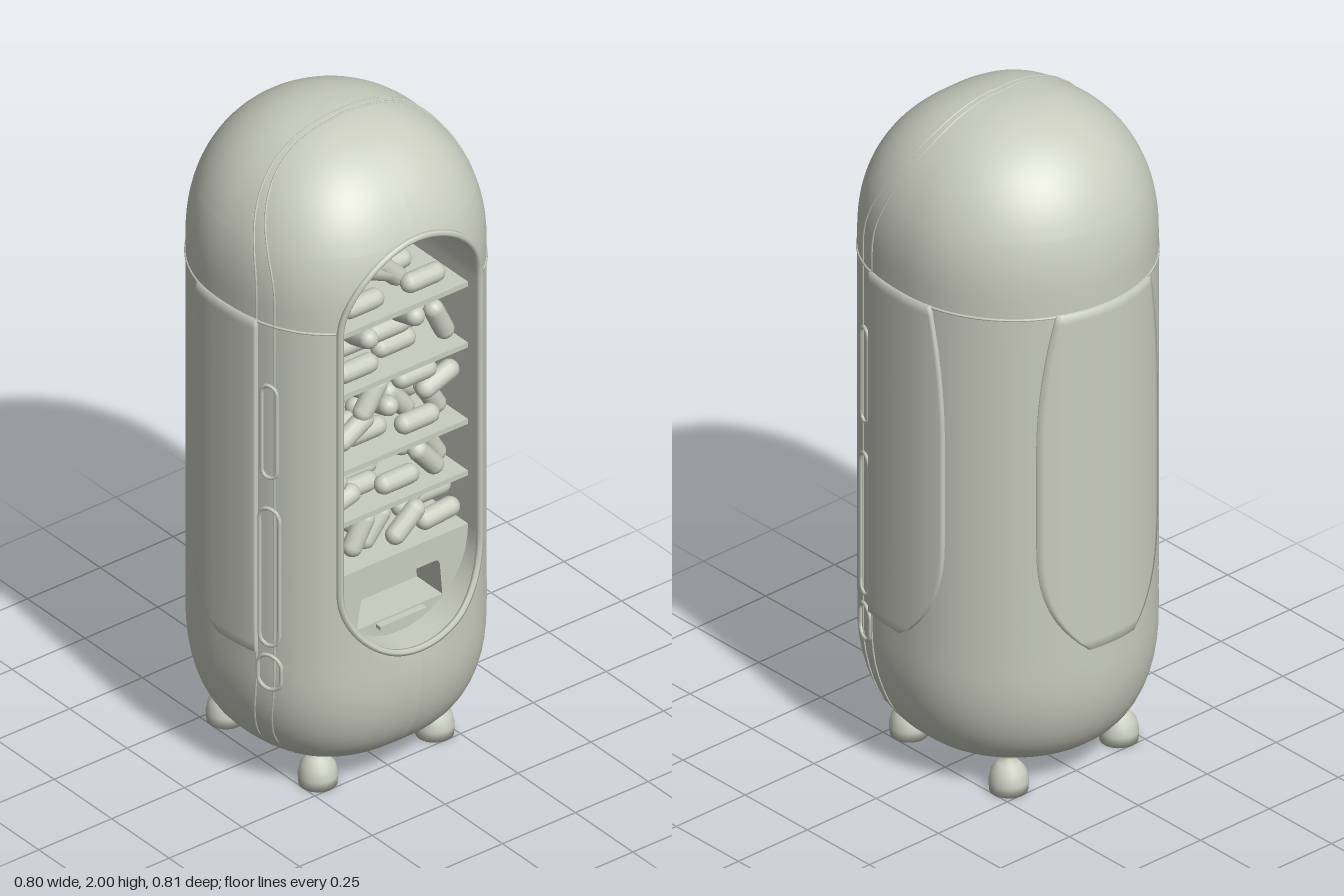
import * as THREE from 'three';

const R = 0.39, ZF = 0.4, BASE = 0.07, HOLE = 0.24, LOW = 0.69, HIGH = 1.51, N = 1.25;
const { sin, cos, abs, pow, sign, sqrt, PI } = Math;
const step = THREE.MathUtils.smoothstep;

// Relative body radius at height y: rounded foot, straight middle, dome
function radius(y) {
  const arc = (u) => pow(Math.max(0, 1 - pow(u, 2.2)), 1 / 2.2);
  if (y < 0.4) return 0.5 + 0.5 * arc((0.4 - y) / 0.33);
  if (y > 1.58) return arc(Math.min(1, (y - 1.58) / 0.42));
  return 1;
}

// Point on the body; angle 0 is the front. The front half is squarer and flattened.
function surface(a, y, off = 0, rel = radius(y)) {
  const s = sin(a), c = cos(a);
  let x = R * rel * s, z = R * rel * c;
  if (c > 0) {
    x = R * rel * sign(s) * pow(abs(s), 1 / N);
    z = ZF * rel * pow(c, 1 / N);
    const flat = 0.365 + 0.035 * (1 - step(y, 0.4, 0.64)) + 0.02 * step(y, 1.52, 1.75);
    z = Math.min(z, flat);
  }
  return new THREE.Vector3(x + off * s, y, z + off * c);
}
const angleAtX = (x, y) => Math.asin(Math.min(1, pow(abs(x) / (R * radius(y)), N))) * sign(x);
const angleAtZ = (z, y) => Math.acos(Math.min(1, pow(z / (ZF * radius(y)), N)));

// Smooth surface from rows and columns of points
function grid(rows, cols, point) {
  const pos = [], idx = [];
  for (let r = 0; r <= rows; r++) for (let c = 0; c <= cols; c++) {
    pos.push(...point(r, c).toArray());
    if (r < rows && c < cols) {
      const a = r * (cols + 1) + c, d = a + cols + 1;
      idx.push(a, a + 1, d, a + 1, d + 1, d);
    }
  }
  const g = new THREE.BufferGeometry();
  g.setAttribute('position', new THREE.Float32BufferAttribute(pos, 3));
  g.setIndex(idx);
  g.computeVertexNormals();
  return g;
}

function holeHalfWidth(y) {
  const d = y < LOW ? LOW - y : y > HIGH ? y - HIGH : 0;
  return sqrt(Math.max(0, HOLE * HOLE - d * d));
}

function pill(r, y0, y1) {
  const s = new THREE.Shape();
  s.moveTo(r, y0).lineTo(r, y1).absarc(0, y1, r, 0, PI, false);
  s.lineTo(-r, y0).absarc(0, y0, r, PI, 2 * PI, false);
  return s;
}

export function createModel() {
  const model = new THREE.Group();
  const mat = new THREE.MeshStandardMaterial({ color: 0xc9ccbf, side: THREE.DoubleSide });
  mat.name = 'paleGrey';
  const add = (name, geo, x = 0, y = 0, z = 0) => {
    const m = new THREE.Mesh(geo, mat);
    m.name = name;
    m.position.set(x, y, z);
    model.add(m);
    return m;
  };
  const line = (name, pts, r, closed = false, n = 120) =>
    add(name, new THREE.TubeGeometry(new THREE.CatmullRomCurve3(pts, closed), n, r, 6, closed));

  // Body shell, open at the window
  const ys = [];
  for (let i = 0; i <= 12; i++) ys.push(BASE + 0.33 * (1 - cos(i / 12 * PI / 2)));
  for (let i = 0; i <= 14; i++) ys.push(LOW - HOLE * cos(i / 14 * PI / 2));
  for (let i = 1; i < 10; i++) ys.push(LOW + (HIGH - LOW) * i / 10);
  for (let i = 0; i <= 14; i++) ys.push(HIGH + HOLE * sin(i / 14 * PI / 2));
  for (let i = 1; i <= 16; i++) ys.push(1.75 + 0.25 * sin(i / 16 * PI / 2));
  add('bodyShell', grid(ys.length - 1, 96, (r, c) => {
    const y = ys[r], a0 = angleAtX(holeHalfWidth(y), y);
    return surface(a0 + (2 * PI - 2 * a0) * c / 96, y);
  }));
  add('bodyBottom', grid(4, 64, (r, c) => surface(c / 64 * 2 * PI, BASE, 0, 0.5 * r / 4)));

  // Window rim, cavity wall and back wall
  const outline = pill(HOLE, LOW, HIGH).getSpacedPoints(120);
  const edge = outline.map((p) => surface(angleAtX(p.x, p.y), p.y));
  line('windowRim', edge.slice(0, -1), 0.01, true, 160);
  add('cavityWall', grid(1, edge.length - 1, (r, c) =>
    r ? edge[c].clone() : edge[c].clone().setZ(0.02)));
  add('cavityBack', new THREE.ShapeGeometry(pill(HOLE, LOW, HIGH), 24), 0, 0, 0.02);

  // Shelves with heaps of capsules: x, height above shelf, tilt in degrees (90+ points forward)
  const END = 999;
  const shelves = [
    [1.48, [[-0.18, 0.1, END], [-0.09, 0.035, 0], [0.03, 0.075, -45], [0.12, 0.035, 0], [-0.01, 0.09, -25]]],
    [1.285, [[-0.2, 0.075, 80], [-0.1, 0.13, END], [-0.1, 0.085, 0], [-0.11, 0.03, 0], [0.03, 0.085, 0],
      [0.06, 0.14, END], [0.05, 0.03, 0], [0.18, 0.075, -65], [0.16, 0.13, 30]]],
    [1.04, [[-0.16, 0.15, 65], [-0.06, 0.16, 55], [-0.17, 0.03, 0], [-0.12, 0.08, 30], [-0.05, 0.03, 0],
      [0.09, 0.18, 0], [0.06, 0.09, -50], [0.1, 0.03, 0], [0.19, 0.06, -60], [0.17, 0.13, 20], [0, 0.1, END]]],
    [0.875, [[-0.18, 0.09, END], [-0.17, 0.035, 15], [-0.08, 0.03, 0], [0.03, 0.03, 0], [0.12, 0.1, 0],
      [0.13, 0.06, -50], [0.18, 0.07, -60]]],
    [0.705, [[-0.17, 0.075, 65], [-0.1, 0.08, 60], [-0.02, 0.05, 50], [0.06, 0.05, 40],
      [0.11, 0.1, 40], [0.17, 0.035, 5], [0.17, 0.09, 0]]],
  ];
  const capsule = new THREE.CapsuleGeometry(0.029, 0.085, 5, 12);
  shelves.forEach(([y, heap], s) => {
    add('shelf' + (s + 1), new THREE.BoxGeometry(0.472, 0.016, 0.28), 0, y - 0.008, 0.16);
    for (const back of [0, 1]) heap.forEach(([x, h, tilt], i) => {
      const m = add('capsule', capsule, back ? -x : x, y + h, (i % 2 ? 0.25 : 0.21) - back * 0.11);
      m.position.x = THREE.MathUtils.clamp(m.position.x, -0.175, 0.175);
      if (tilt === END) m.rotation.x = 1.3;
      else m.rotation.set(0, 0, (tilt - 90) * PI / 180 * (back ? -1 : 1));
    });
  });

  // Delivery tray: panel with a recessed opening and a slot lip
  const panel = new THREE.Shape();
  panel.moveTo(-0.235, 0.69).absarc(0, 0.69, 0.235, PI, 2 * PI, false);
  const opening = new THREE.Path();
  opening.moveTo(-0.145, 0.515).lineTo(-0.13, 0.61).quadraticCurveTo(-0.125, 0.63, -0.105, 0.63);
  opening.lineTo(0.12, 0.63).quadraticCurveTo(0.138, 0.63, 0.14, 0.61).lineTo(0.148, 0.515);
  opening.closePath();
  panel.holes.push(opening);
  add('trayPanel', new THREE.ExtrudeGeometry(panel, { depth: 0.12, bevelEnabled: false, curveSegments: 20 }), 0, 0, 0.18);
  add('trayBack', new THREE.BoxGeometry(0.3, 0.13, 0.01), 0, 0.57, 0.185);
  add('trayLip', new THREE.BoxGeometry(0.16, 0.012, 0.03), 0, 0.503, 0.305);

  // Raised panels on the sides and back, tapering at the bottom
  const patch = (name, a0, a1) => add(name, grid(42, 26, (r, c) => {
    const t = THREE.MathUtils.clamp((r - 1) / 40, 0, 1), y = 0.47 + 1.06 * t;
    const k = THREE.MathUtils.clamp((c - 1) / 24, 0, 1);
    const border = r === 0 || r === 42 || c === 0 || c === 26;
    return surface(a0(t) + (a1(t) - a0(t)) * k, y, border ? -0.004 : 0.011);
  }));
  const taper = (t) => t < 0.35 ? pow(1 - t / 0.35, 3) : 0;
  const narrow = (t) => t > 0.6 ? pow((t - 0.6) / 0.4, 2) : 0;
  const half = (t) => 0.58 - 0.38 * taper(t) - 0.14 * narrow(t);
  const rear = (t) => 1.91 - 0.36 * taper(t) - 0.11 * narrow(t);
  patch('backPanel', (t) => PI - half(t), (t) => PI + half(t));
  patch('leftSidePanel', () => 1.25, rear);
  patch('rightSidePanel', (t) => 2 * PI - rear(t), () => 2 * PI - 1.25);

  // Slot frames on both sides
  for (const side of [-1, 1]) {
    const name = side > 0 ? 'left' : 'right';
    for (const [r, y0, y1] of [[0.022, 1.06, 1.31], [0.029, 0.53, 0.91], [0.034, 0.395, 0.435]]) {
      const pts = pill(r, y0, y1).getSpacedPoints(40).slice(0, -1)
        .map((p) => surface(side * angleAtZ(0.195 + p.x, p.y), p.y, 0.002));
      line(name + 'SlotFrame', pts, 0.006, true, 80);
    }
  }

  // Door seams over the dome and the seam under the cap
  for (const [zSide, zTop] of [[0.21, 0.065], [0.155, 0.045]]) {
    const pts = [];
    for (let i = 0; i <= 40; i++) {
      const y = i < 20 ? 0.1 + 1.5 * i / 20 : 1.6 + 0.397 * sin((i - 20) / 20 * PI / 2);
      const z = zSide - (zSide - zTop) * step(y, 1.6, 2) - 0.05 * (1 - step(y, 0.08, 0.4));
      pts.push(surface(angleAtZ(z, y), y));
    }
    const other = pts.map((p) => new THREE.Vector3(-p.x, p.y, p.z)).reverse();
    line('doorSeam', [...pts.slice(0, -1), ...other], 0.003, false, 200);
  }
  const ring = [];
  const ringStart = angleAtX(0.25, 1.525);
  for (let i = 0; i <= 60; i++) ring.push(surface(ringStart + (2 * PI - 2 * ringStart) * i / 60, 1.525));
  line('capSeam', ring, 0.004);

  // Domed feet
  const foot = [[0, 0], [0.053, 0], [0.055, 0.03], [0.048, 0.062], [0.03, 0.084], [0, 0.092]]
    .map(([x, y]) => new THREE.Vector2(x, y));
  const footGeo = new THREE.LatheGeometry(foot, 24);
  for (const x of [-0.2, 0.2]) for (const z of [-0.2, 0.2]) add('foot', footGeo, x, 0, z);

  return model;
}
